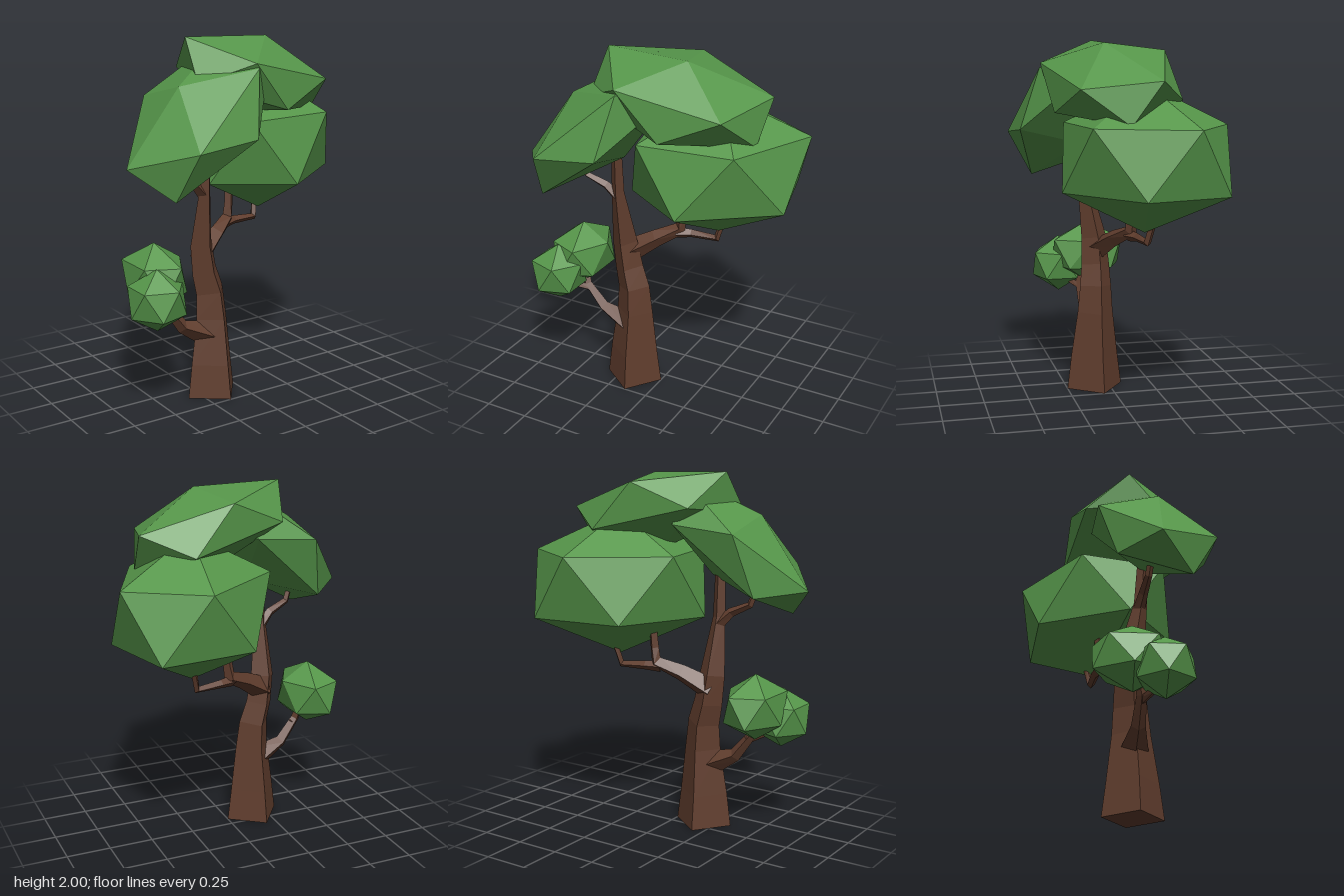
import * as THREE from 'three';
import { ConvexGeometry } from 'three/addons/geometries/ConvexGeometry.js';

const bark = new THREE.MeshStandardMaterial({ color: 0x603d2d, flatShading: true });
const leaf = new THREE.MeshStandardMaterial({ color: 0x56964a, flatShading: true });

// Four-sided limb swept through points [x, y, z, radius], closed at both ends
function limb(name, path, turn = 0) {
  const sides = 4, pos = [], index = [];
  const pts = path.map(([x, y, z]) => new THREE.Vector3(x, y, z));
  const last = pts.length - 1;
  pts.forEach((c, i) => {
    const t = pts[Math.min(i + 1, last)].clone().sub(pts[Math.max(i - 1, 0)]).normalize();
    const u = t.clone().cross(new THREE.Vector3(0, 0, 1)).normalize();
    const w = u.clone().cross(t);
    for (let k = 0; k < sides; k++) {
      const a = turn + (k / sides) * Math.PI * 2;
      const p = c.clone()
        .addScaledVector(u, Math.cos(a) * path[i][3])
        .addScaledVector(w, Math.sin(a) * path[i][3]);
      pos.push(p.x, p.y, p.z);
      if (i < last) {
        const A = i * sides + k, B = i * sides + (k + 1) % sides;
        index.push(A, A + sides, B, B, A + sides, B + sides);
      }
    }
  });
  const e = last * sides;
  index.push(0, 1, 2, 0, 2, 3, e, e + 2, e + 1, e, e + 3, e + 2);
  const indexed = new THREE.BufferGeometry();
  indexed.setAttribute('position', new THREE.Float32BufferAttribute(pos, 3));
  indexed.setIndex(index);
  const geo = indexed.toNonIndexed();
  geo.computeVertexNormals();
  const mesh = new THREE.Mesh(geo, bark);
  mesh.name = name;
  return mesh;
}

// Skewed icosahedron: a pole vector and two ring axes, mirrored through the centre
function foliage(name, centre, pole, ringA, ringB) {
  const [c, p, a, b] = [centre, pole, ringA, ringB].map((v) => new THREE.Vector3(...v));
  const axes = [p];
  for (let k = 0; k < 5; k++) {
    const t = (k / 5) * Math.PI * 2;
    axes.push(p.clone().multiplyScalar(0.447)
      .addScaledVector(a, Math.cos(t)).addScaledVector(b, Math.sin(t)));
  }
  const points = axes.flatMap((v) => [c.clone().add(v), c.clone().sub(v)]);
  const mesh = new THREE.Mesh(new ConvexGeometry(points), leaf);
  mesh.name = name;
  return mesh;
}

export function createModel() {
  const tree = new THREE.Group();
  tree.name = 'tree';

  // Trunk and branches
  tree.add(
    limb('trunk', [
      [-0.165, 0, 0.085, 0.167], [-0.165, 0.19, 0.085, 0.143], [-0.16, 0.45, 0.08, 0.108],
      [-0.168, 0.6, 0.075, 0.095], [-0.2, 0.72, 0.07, 0.085], [-0.222, 0.88, 0.075, 0.075],
      [-0.23, 1.2, 0.13, 0.037], [-0.225, 1.55, 0.15, 0.028],
    ], -0.15),
    limb('rightBranch', [
      [-0.22, 0.8, 0.06, 0.07], [-0.07, 0.89, -0.01, 0.05], [0.05, 0.95, -0.08, 0.038],
      [0.06, 1.03, -0.08, 0.028], [0.07, 1.2, -0.09, 0.022],
    ]),
    limb('rightTwig', [
      [0.03, 0.925, -0.07, 0.035], [0.11, 0.925, -0.1, 0.025],
      [0.26, 0.92, -0.12, 0.022], [0.29, 1.05, -0.15, 0.018],
    ]),
    limb('lowerLeftBranch', [
      [-0.18, 0.35, 0.09, 0.08], [-0.36, 0.43, 0.1, 0.038],
      [-0.46, 0.56, 0.11, 0.027], [-0.5, 0.7, 0.08, 0.018],
    ]),
    limb('lowerLeftTwig', [
      [-0.43, 0.53, 0.1, 0.025], [-0.52, 0.57, 0.17, 0.02], [-0.58, 0.66, 0.22, 0.015],
    ]),
    limb('upperLeftBranch', [
      [-0.23, 1.16, 0.12, 0.035], [-0.3, 1.23, 0.14, 0.026],
      [-0.41, 1.28, 0.16, 0.02], [-0.46, 1.42, 0.18, 0.015],
    ]),
  );

  // Leaf clumps
  tree.add(
    foliage('rightFoliage', [0.28, 1.38, -0.1], [0, 0.4, 0], [0.45, 0, -0.18], [0.096, 0, 0.405]),
    foliage('topFoliage', [0.12, 1.785, 0.053], [0.06, 0.205, 0.047],
      [0.423, -0.08, -0.198], [0.191, -0.103, 0.283]),
    foliage('leftFoliage', [-0.3, 1.6, 0.195], [-0.14, 0.17, 0.025],
      [-0.378, -0.303, 0], [-0.026, -0.111, 0.339]),
    foliage('smallBackFoliage', [-0.51, 0.74, 0.06], [0, 0.185, 0], [0.16, 0, 0], [0, 0, 0.215]),
    foliage('smallFrontFoliage', [-0.585, 0.66, 0.22], [0, 0.17, 0], [0.155, 0, 0], [0, 0, 0.157]),
  );
  return tree;
}
